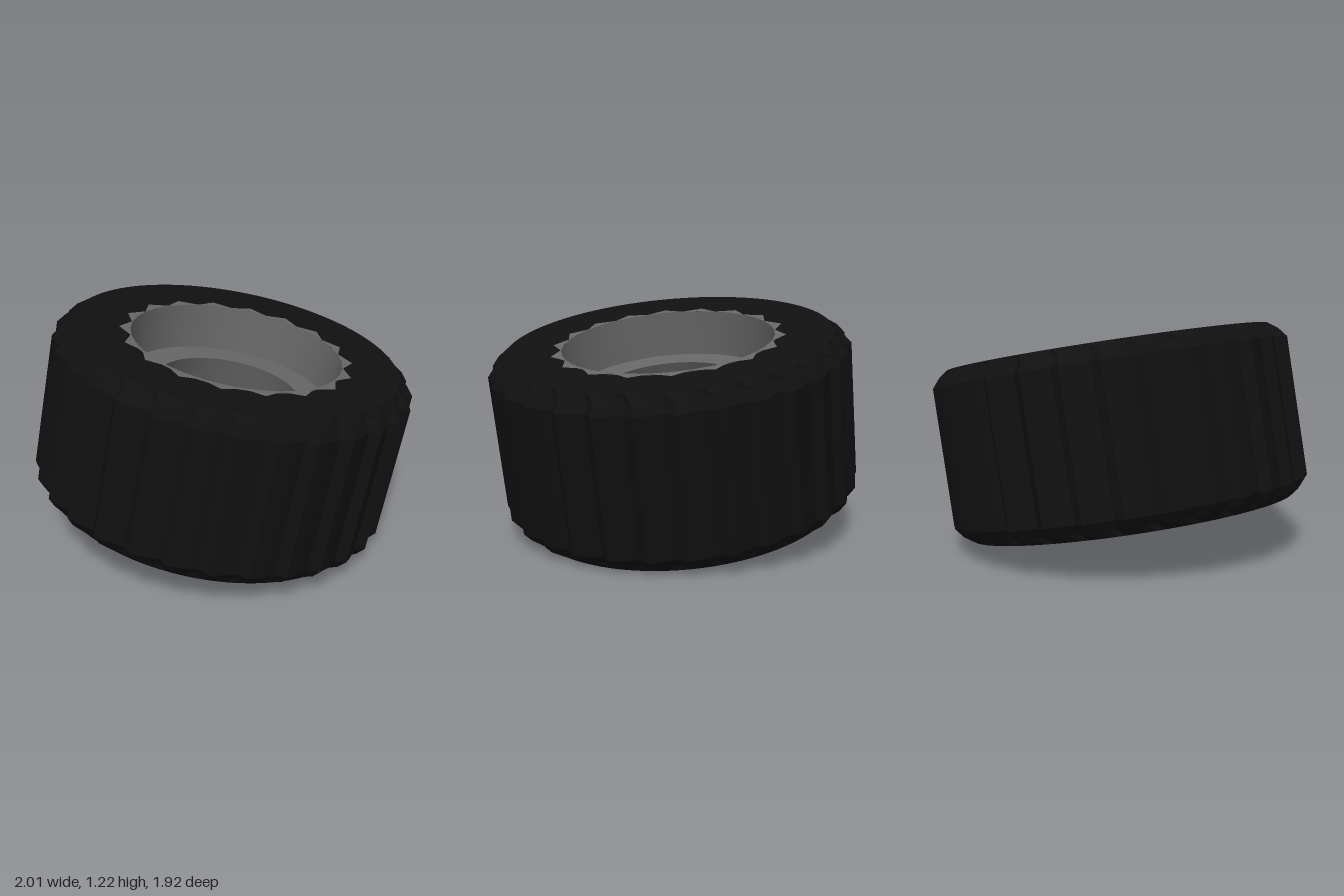
import * as THREE from 'three';

const rubber = new THREE.MeshStandardMaterial({ color: 0x101010, flatShading: true });
const rubberBack = new THREE.MeshStandardMaterial({ color: 0x101010, flatShading: true, side: THREE.BackSide });
const metal = new THREE.MeshStandardMaterial({ color: 0x666666, side: THREE.DoubleSide });
const metalFront = new THREE.MeshStandardMaterial({ color: 0x666666, flatShading: true });

const LUGS = 30, TEETH = 16;

function add(group, name, geometry, material) {
  const mesh = new THREE.Mesh(geometry, material);
  mesh.name = name;
  group.add(mesh);
  return mesh;
}

function lathe(points, segments) {
  return new THREE.LatheGeometry(points.map(([r, y]) => new THREE.Vector2(r, y)), segments);
}

// Shift the radius of every lathe vertex by a rule of (column, radius)
function reshape(geometry, rows, rule) {
  const p = geometry.attributes.position;
  for (let i = 0; i < p.count; i++) {
    const r = Math.hypot(p.getX(i), p.getZ(i));
    const k = rule(Math.floor(i / rows), r) / r;
    p.setX(i, p.getX(i) * k);
    p.setZ(i, p.getZ(i) * k);
  }
  geometry.computeVertexNormals();
  return geometry;
}

// Tyre body: chamfered ring with sawtooth tread ribs
function tyreGeometry() {
  const profile = [
    [0.61, -0.445], [0.87, -0.455], [0.92, -0.42], [0.96, -0.37],
    [0.96, 0.37], [0.92, 0.42], [0.87, 0.455],
    [0.575, 0.445], [0.575, 0.15], [0.61, -0.2], [0.61, -0.445],
  ];
  const drop = [0, 0.012, 0.026, 0.04];
  return reshape(lathe(profile, LUGS * 4), profile.length,
    (column, r) => r > 0.9 ? r - drop[column % 4] : r);
}

// Pointed blades rising inwards from the lower rim
function bladeGeometry() {
  const v = [];
  const put = (r, y, a) => v.push(r * Math.cos(a), y, r * Math.sin(a));
  const half = Math.PI / TEETH;
  for (let i = 0; i < TEETH; i++) {
    const a = i * 2 * half;
    put(0.605, -0.44, a - half);
    put(0.605, -0.44, a + half);
    put(0.33, -0.1, a);
  }
  const g = new THREE.BufferGeometry();
  g.setAttribute('position', new THREE.Float32BufferAttribute(v, 3));
  g.computeVertexNormals();
  return g;
}

export function createModel() {
  const model = new THREE.Group();
  model.name = 'wheel';
  const wheel = new THREE.Group();
  wheel.name = 'tiltedWheel';
  model.add(wheel);

  add(wheel, 'tyre', tyreGeometry(), rubber);

  // Rim: jagged lip, bowl wall, inner ledge and lower cone
  const lip = reshape(lathe([[0.625, 0.45], [0.565, 0.451]], 36), 2,
    (column, r) => r > 0.6 && column % 2 ? 0.57 : r);
  add(wheel, 'rimLip', lip, metal);
  add(wheel, 'rimWall', lathe([[0.565, 0.451], [0.55, 0.2]], 48), metal);
  add(wheel, 'rimLedge', lathe([[0.55, 0.2], [0.39, 0.2]], 48), metal);
  add(wheel, 'lowerCone', lathe([[0.39, 0.2], [0.61, -0.445]], 48), metal);

  // Blades are metal below and dark above
  const blades = bladeGeometry();
  add(wheel, 'bladeUndersides', blades, metalFront);
  add(wheel, 'bladeTops', blades, rubberBack);

  // Slim bar across the opening
  const bar = add(wheel, 'crossBar', new THREE.BoxGeometry(0.74, 0.06, 0.055), metalFront);
  bar.position.set(0, 0.13, 0.02);
  bar.rotation.set(0.4, -0.584, 0, 'YXZ');

  wheel.rotation.z = -0.188;
  wheel.position.y = 0.612;
  return model;
}
